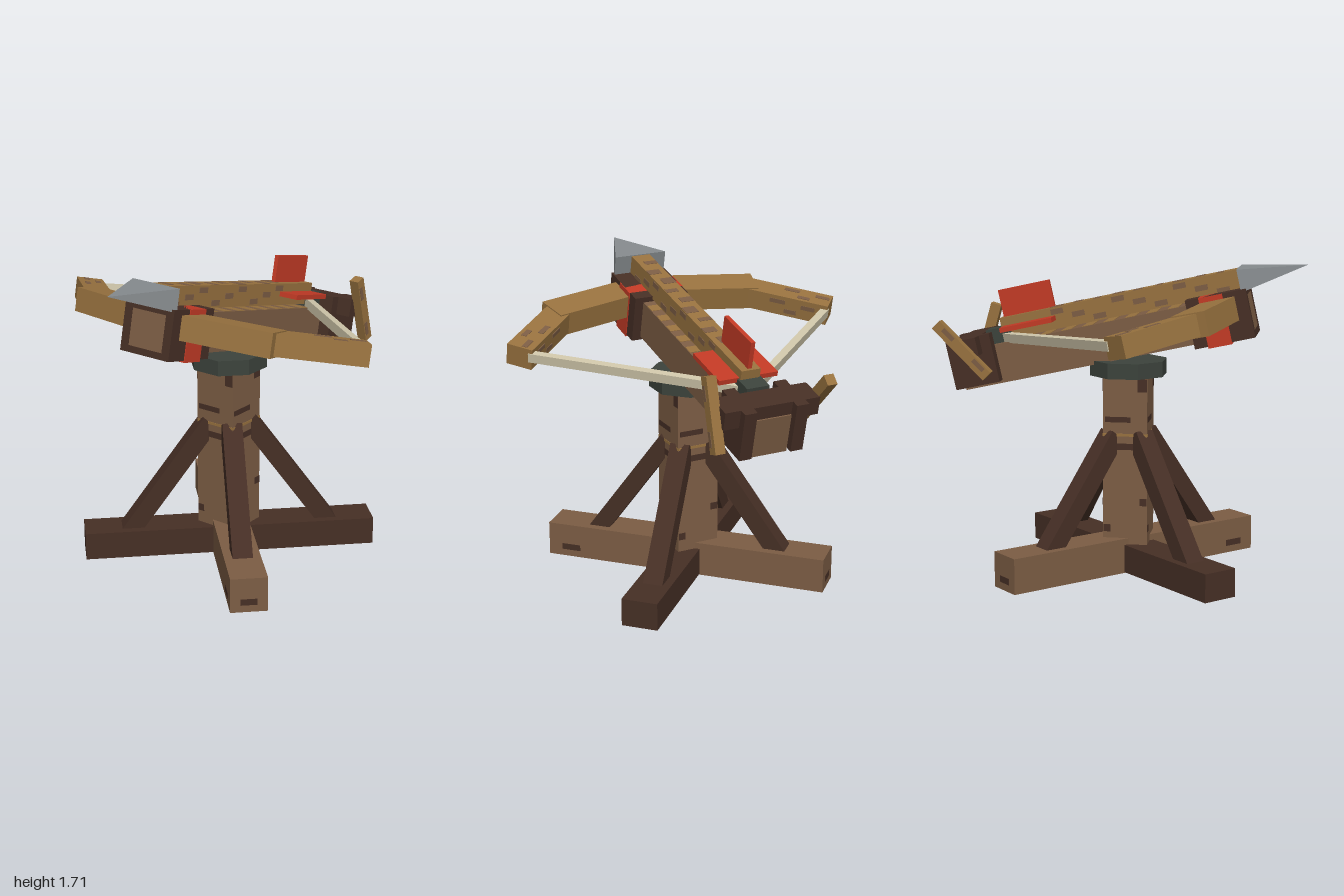
import * as THREE from 'three';

const paint = (name, color) => {
  const m = new THREE.MeshStandardMaterial({ color });
  m.name = name;
  return m;
};

export function createModel() {
  const brown = paint('brown wood', 0x7c5d44);
  const dark = paint('dark wood', 0x462f25);
  const tan = paint('tan wood', 0x98723f);
  const red = paint('red', 0xc23a25);
  const steel = paint('steel', 0x868b8e);
  const iron = paint('dark iron', 0x3c433c);
  const cord = paint('cord', 0xcfc6aa);

  const model = new THREE.Group();

  const add = (parent, name, geometry, material) => {
    const mesh = new THREE.Mesh(geometry, material);
    mesh.name = name;
    parent.add(mesh);
    return mesh;
  };
  // Box given by its size and centre
  const box = (parent, name, mat, [w, h, d], [x, y, z]) => {
    const mesh = add(parent, name, new THREE.BoxGeometry(w, h, d), mat);
    mesh.position.set(x, y, z);
    return mesh;
  };
  // Beam running from point a to point b
  const beam = (parent, name, mat, a, b, w, h) => {
    const from = new THREE.Vector3(...a), to = new THREE.Vector3(...b);
    const mesh = new THREE.Mesh(new THREE.BoxGeometry(w, h, from.distanceTo(to)), mat);
    mesh.name = name;
    mesh.position.copy(from).lerp(to, 0.5);
    mesh.lookAt(to);
    parent.add(mesh);
    return mesh;
  };

  // ---- Stand, centred a little forward of the origin
  const stand = new THREE.Group();
  stand.name = 'stand';
  stand.position.z = 0.03;
  model.add(stand);

  const foot = box(stand, 'footBeam', brown, [0.2, 0.195, 1.63], [0, 0.0975, 0]);
  foot.rotation.y = Math.PI / 4;
  const cross = box(stand, 'crossFootBeam', dark, [0.2, 0.155, 1.63], [0, 0.0825, 0]);
  cross.rotation.y = -Math.PI / 4;
  box(stand, 'post', brown, [0.245, 1.09, 0.245], [0, 0.56, 0]);

  for (const sx of [-1, 1]) for (const sz of [-1, 1]) {
    beam(stand, 'strut', dark, [sx * 0.4, 0.13, sz * 0.4], [sx * 0.075, 0.77, sz * 0.075], 0.11, 0.1);
  }
  // Knots on the four post faces and the end of the foot beam
  for (let side = 0; side < 4; side++) {
    const face = new THREE.Group();
    face.name = 'postKnots';
    face.rotation.y = side * Math.PI / 2;
    stand.add(face);
    for (const [x, y, w, h] of [[-0.04, 0.86, 0.14, 0.03], [0.095, 1.05, 0.05, 0.07],
      [0, 0.71, 0.09, 0.035], [0.1, 0.4, 0.04, 0.04], [-0.1, 0.25, 0.04, 0.04]]) {
      box(face, 'knot', dark, [w, h, 0.006], [x, y, 0.122]);
    }
    box(face, 'postEdge', tan, [0.245, 0.015, 0.006], [0, 0.775, 0.122]);
  }
  for (const s of [-1, 1]) {
    box(foot, 'endKnot', dark, [0.09, 0.035, 0.006], [0, -0.04, s * 0.814]);
    box(foot, 'sideKnot', dark, [0.006, 0.035, 0.11], [s * 0.1, -0.04, 0.68]);
  }

  // Octagonal turntable
  const disc = new THREE.CylinderGeometry(0.216, 0.216, 0.085, 8).toNonIndexed();
  disc.rotateY(Math.PI / 8);
  disc.computeVertexNormals();
  add(stand, 'turntable', disc, iron).position.y = 1.137;

  // ---- Tilted weapon: local z runs along the stock
  const weapon = new THREE.Group();
  weapon.name = 'weapon';
  weapon.position.y = 1.3;
  weapon.rotation.x = -0.218;
  model.add(weapon);

  box(weapon, 'stock', brown, [0.22, 0.215, 1.63], [0, 0, -0.09]);
  for (let i = 0; i < 8; i++) {
    box(weapon, 'stockStripe', tan, [0.215, 0.006, 0.06], [0, 0.107, 0.32 - i * 0.12]);
  }

  // Front bracket as a frame around the stock end, with a red band
  for (const s of [-1, 1]) {
    box(weapon, 'bracketSide', dark, [0.05, 0.24, 0.33], [s * 0.135, 0.005, 0.562]);
    box(weapon, 'bracketPlate', dark, [0.32, 0.035, 0.33], [0, 0.005 + s * 0.115, 0.562]);
  }
  box(weapon, 'redBand', red, [0.33, 0.275, 0.13], [0, 0, 0.535]);

  // Bow arms and string
  for (const s of [-1, 1]) {
    const v = 0.045;
    beam(weapon, 'innerBowArm', tan, [0, v, 0.605], [s * 0.63, v, 0.465], 0.18, 0.13);
    const arm = beam(weapon, 'outerBowArm', tan, [s * 0.575, v, 0.47], [s * 0.945, v, 0.125], 0.145, 0.117);
    for (const [z, x, l] of [[0.02, 0.03, 0.09], [0.1, -0.035, 0.07], [0.2, 0.02, 0.08]]) {
      box(arm, 'armGrain', brown, [0.03, 0.006, l], [x, 0.058, z]);
      box(arm, 'armSideGrain', brown, [0.006, 0.025, l], [s * 0.0725, x * 0.8, z - 0.06]);
    }
    beam(weapon, 'bowString', cord, [s * 0.9, 0.055, 0.1], [s * 0.05, 0.13, -0.63], 0.042, 0.05);
  }

  // Bolt: shaft, head and fins
  box(weapon, 'boltShaft', tan, [0.11, 0.12, 1.35], [0, 0.18, 0.03]);
  for (let i = 0; i < 9; i++) {
    const z = 0.6 - i * 0.115, l = 0.035 + 0.015 * (i % 3);
    box(weapon, 'shaftGrain', brown, [0.075, 0.006, l], [0.016 * (i % 2 ? 1 : -1), 0.239, z]);
    for (const s of [-1, 1]) {
      box(weapon, 'shaftSideGrain', brown, [0.006, 0.03, 0.07], [s * 0.055, 0.18 + 0.035 * ((i % 3) - 1), z]);
    }
  }
  const head = new THREE.ConeGeometry(Math.SQRT1_2, 0.365, 4).toNonIndexed();
  head.rotateY(Math.PI / 4);
  head.rotateX(Math.PI / 2);
  head.scale(0.31, 0.125, 1);
  head.computeVertexNormals();
  add(weapon, 'boltHead', head, steel).position.set(0, 0.183, 0.8825);
  box(weapon, 'uprightFin', red, [0.024, 0.21, 0.295], [0, 0.285, -0.482]);
  box(weapon, 'flatFin', red, [0.34, 0.026, 0.295], [0, 0.182, -0.482]);
  box(weapon, 'trigger', iron, [0.13, 0.1, 0.14], [0, 0.14, -0.665]);

  // Winch: cheeks, drum and crank bars
  for (const s of [-1, 1]) {
    box(weapon, 'winchCheek', dark, [0.07, 0.27, 0.25], [s * 0.147, 0.045, -0.815]);
    const bar = box(weapon, 'crankBar', tan, [0.056, 0.39, 0.06], [s * 0.293, 0.13, -0.822]);
    bar.rotation.x = s > 0 ? 0.49 : -0.57;
    for (const y of [-0.12, 0.11]) {
      box(bar, 'barGrain', brown, [0.006, 0.08, 0.025], [s * 0.028, y, 0.01]);
    }
  }
  box(weapon, 'winchDrum', dark, [0.54, 0.1, 0.15], [0, 0.13, -0.822]);

  return model;
}
